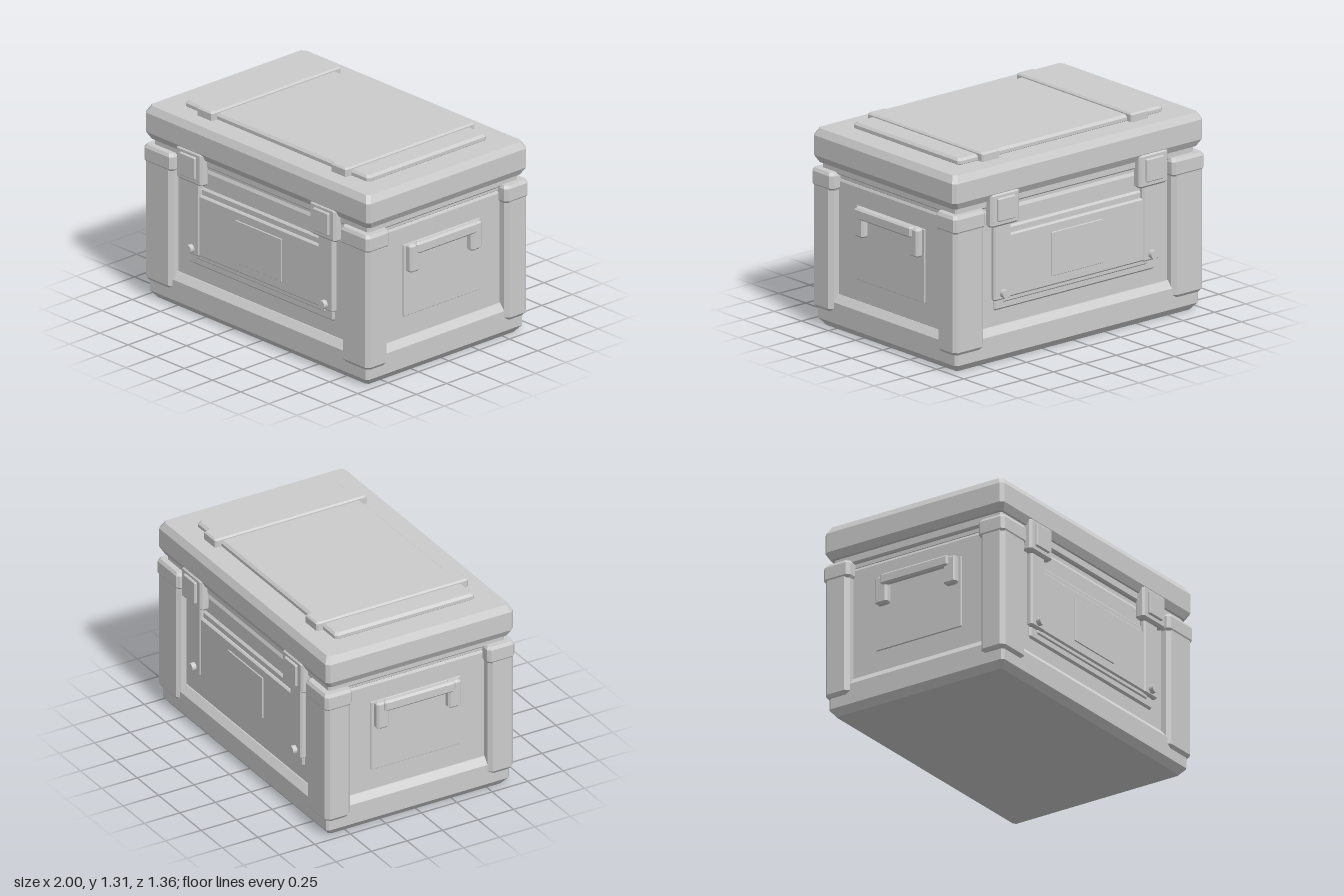
import * as THREE from 'three';
import { ConvexGeometry } from 'three/addons/geometries/ConvexGeometry.js';

const grey = new THREE.MeshStandardMaterial({ color: 0xcccccc });
grey.name = 'plain grey';

// Box between two corners: c chamfers the upright edges, the top and bottom
// rims slope in by 'inset' over a height of 'drop'.
function bevelBox(name, [x0, y0, z0], [x1, y1, z1], c, inset = c, drop = c) {
  const points = [];
  const levels = [[y0, inset], [y0 + drop, 0], [y1 - drop, 0], [y1, inset]];
  for (const [y, i] of levels) {
    for (const sx of [-1, 1]) for (const sz of [-1, 1]) {
      const x = (x0 + x1) / 2 + sx * ((x1 - x0) / 2 - i);
      const z = (z0 + z1) / 2 + sz * ((z1 - z0) / 2 - i);
      points.push(new THREE.Vector3(x - sx * c, y, z), new THREE.Vector3(x, y, z - sz * c));
    }
  }
  const mesh = new THREE.Mesh(new ConvexGeometry(points), grey);
  mesh.name = name;
  return mesh;
}

// Box centred on x and z
const slab = (name, x, z, y0, y1, ...bevel) => bevelBox(name, [-x, y0, -z], [x, y1, z], ...bevel);

// Adds a group and its copy turned half way round
function addBothWays(parent, group) {
  const copy = group.clone();
  copy.rotation.y = Math.PI;
  parent.add(group, copy);
}

function createFace() {
  const face = new THREE.Group();
  face.name = 'flapPanel';
  face.add(
    bevelBox('backingPlate', [-0.64, 0.32, 0.58], [0.64, 0.84, 0.617], 0.012),
    bevelBox('backingLip', [-0.575, 0.365, 0.6], [0.575, 0.42, 0.625], 0.008),
    bevelBox('flap', [-0.6, 0.393, 0.6], [0.6, 0.795, 0.635], 0.01),
    bevelBox('namePlate', [-0.205, 0.455, 0.625], [0.205, 0.735, 0.642], 0.003)
  );
  for (const s of [-1, 1]) {
    const x = s * 0.592;
    face.add(
      bevelBox('latchStrip', [x - 0.068, 0.39, 0.6], [x + 0.068, 0.95, 0.642], 0.01),
      bevelBox('latchPlate', [x - 0.115, 0.868, 0.6], [x + 0.115, 1.083, 0.667], 0.014),
      bevelBox('latchButton', [x - 0.07, 0.905, 0.65], [x + 0.07, 1.053, 0.682], 0.006)
    );
    const rivet = new THREE.Mesh(new THREE.CylinderGeometry(0.027, 0.027, 0.05, 16), grey);
    rivet.name = 'rivet';
    rivet.rotation.x = Math.PI / 2;
    rivet.position.set(x, 0.432, 0.647);
    face.add(rivet);
  }
  return face;
}

function createSide() {
  const side = new THREE.Group();
  side.name = 'handlePanel';
  side.add(
    bevelBox('handlePlate', [0.9, 0.36, -0.315], [0.94, 0.828, 0.315], 0.003),
    bevelBox('handleBar', [0.95, 0.765, -0.25], [0.995, 0.837, 0.25], 0.012)
  );
  for (const s of [-1, 1]) {
    side.add(bevelBox('handleBracket', [0.92, 0.648, s * 0.252 - 0.044], [0.982, 0.83, s * 0.252 + 0.044], 0.012));
  }
  return side;
}

export function createModel() {
  const model = new THREE.Group();
  model.name = 'storageCase';

  // Lower body
  model.add(
    slab('base', 0.97, 0.645, 0, 0.222, 0.015, 0.035, 0.045),
    slab('body', 0.93, 0.602, 0.1, 0.97, 0.01, 0.015, 0.03),
    slab('lidSeat', 0.925, 0.592, 0.95, 1.0, 0.01),
    slab('lidLip', 0.95, 0.62, 0.985, 1.06, 0.01)
  );

  // Corner posts with caps
  for (const sx of [-1, 1]) for (const sz of [-1, 1]) {
    const span = (a, b, s) => (s > 0 ? [a, b] : [-b, -a]);
    const box = (name, xa, xb, y0, y1, za, zb, ...bevel) => {
      const [x0, x1] = span(xa, xb, sx), [z0, z1] = span(za, zb, sz);
      return bevelBox(name, [x0, y0, z0], [x1, y1, z1], ...bevel);
    };
    model.add(
      box('cornerPost', 0.75, 0.995, 0.115, 0.92, 0.485, 0.663, 0.025, 0.015, 0.02),
      box('postCap', 0.743, 1, 0.882, 1.0, 0.475, 0.668, 0.02, 0.012, 0.02)
    );
  }

  // Lid with raised panel and straps
  model.add(
    slab('lid', 0.997, 0.66, 1.037, 1.252, 0.022, 0.025, 0.045),
    slab('lidPanel', 0.815, 0.492, 1.24, 1.29, 0.015)
  );
  for (const x of [-0.595, 0.595]) {
    model.add(bevelBox('lidStrap', [x - 0.07, 1.24, -0.535], [x + 0.07, 1.307, 0.535], 0.01));
  }

  addBothWays(model, createFace());
  addBothWays(model, createSide());
  return model;
}
